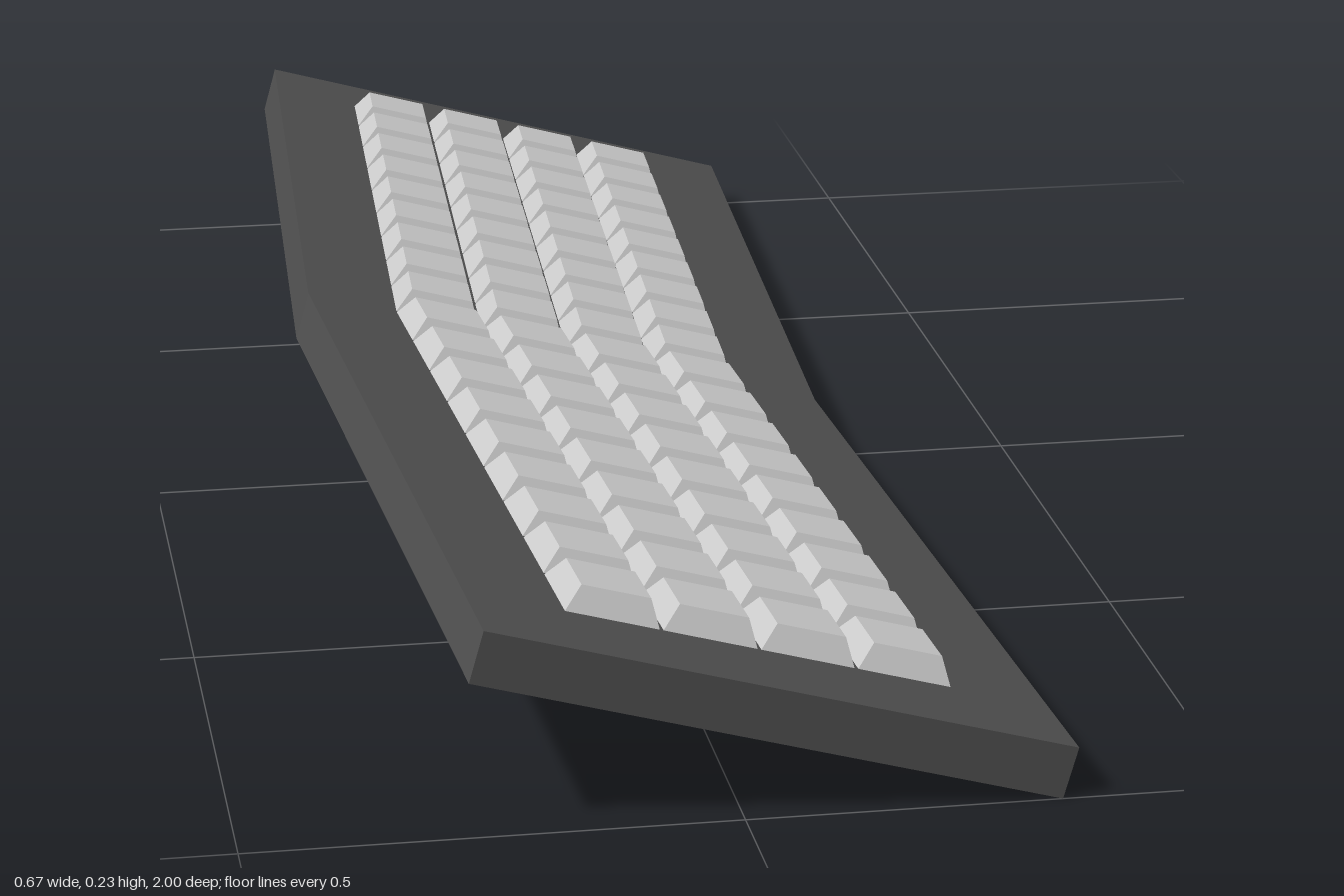
import * as THREE from 'three';

const SWEEP = 0.064;      // sideways shift of the halves at z = ±1
const WIDTH = 0.616;      // case width
const THICK = 0.056;      // case thickness
const ROWS = 4, COLS = 18;
const MARGIN = 0.103, PITCH_U = 0.1025, PITCH_Z = 0.1;
const KEY_H = 0.026, INSET = 0.015, GAP = 0.001;

const bodyMat = new THREE.MeshStandardMaterial({ color: 0x505050, flatShading: true });
const keyMat = new THREE.MeshStandardMaterial({ color: 0xcccccc, flatShading: true });

// Tapered key cap, sheared to follow the bend of the case
function keyGeometry(row, col) {
  const g = new THREE.BoxGeometry(1, 1, 1);
  const p = g.attributes.position;
  const cu = MARGIN + (row + 0.5) * PITCH_U;
  const cz = (col - (COLS - 1) / 2) * PITCH_Z;
  for (let i = 0; i < p.count; i++) {
    const top = p.getY(i) > 0;
    const cut = top ? INSET : GAP;
    const z = cz + Math.sign(p.getZ(i)) * (PITCH_Z / 2 - cut);
    const u = cu + Math.sign(p.getX(i)) * (PITCH_U / 2 - cut) + SWEEP * Math.abs(z);
    p.setXYZ(i, u, THICK + (top ? KEY_H : -0.002), z);
  }
  g.computeVertexNormals();
  return g;
}

export function createModel() {
  const model = new THREE.Group();
  model.name = 'keyboard';

  // Everything is built flat, then tilted as one piece
  const tilted = new THREE.Group();
  tilted.name = 'tiltedKeyboard';
  tilted.position.set(-0.335, 0.18, 0);
  tilted.rotation.z = -Math.asin(0.18 / (WIDTH + SWEEP));
  model.add(tilted);

  // Case: chevron-shaped slab
  const outline = new THREE.Shape([
    [0, 0], [SWEEP, -1], [WIDTH + SWEEP, -1], [WIDTH, 0], [WIDTH + SWEEP, 1], [SWEEP, 1],
  ].map(([x, y]) => new THREE.Vector2(x, y)));
  const slab = new THREE.ExtrudeGeometry(outline, { depth: THICK, bevelEnabled: false });
  slab.rotateX(-Math.PI / 2);
  const body = new THREE.Mesh(slab, bodyMat);
  body.name = 'case';
  tilted.add(body);

  // Key caps in four rows
  for (let row = 0; row < ROWS; row++) {
    const keyRow = new THREE.Group();
    keyRow.name = `keyRow${row + 1}`;
    for (let col = 0; col < COLS; col++) {
      const key = new THREE.Mesh(keyGeometry(row, col), keyMat);
      key.name = `key${col + 1}`;
      keyRow.add(key);
    }
    tilted.add(keyRow);
  }
  return model;
}
